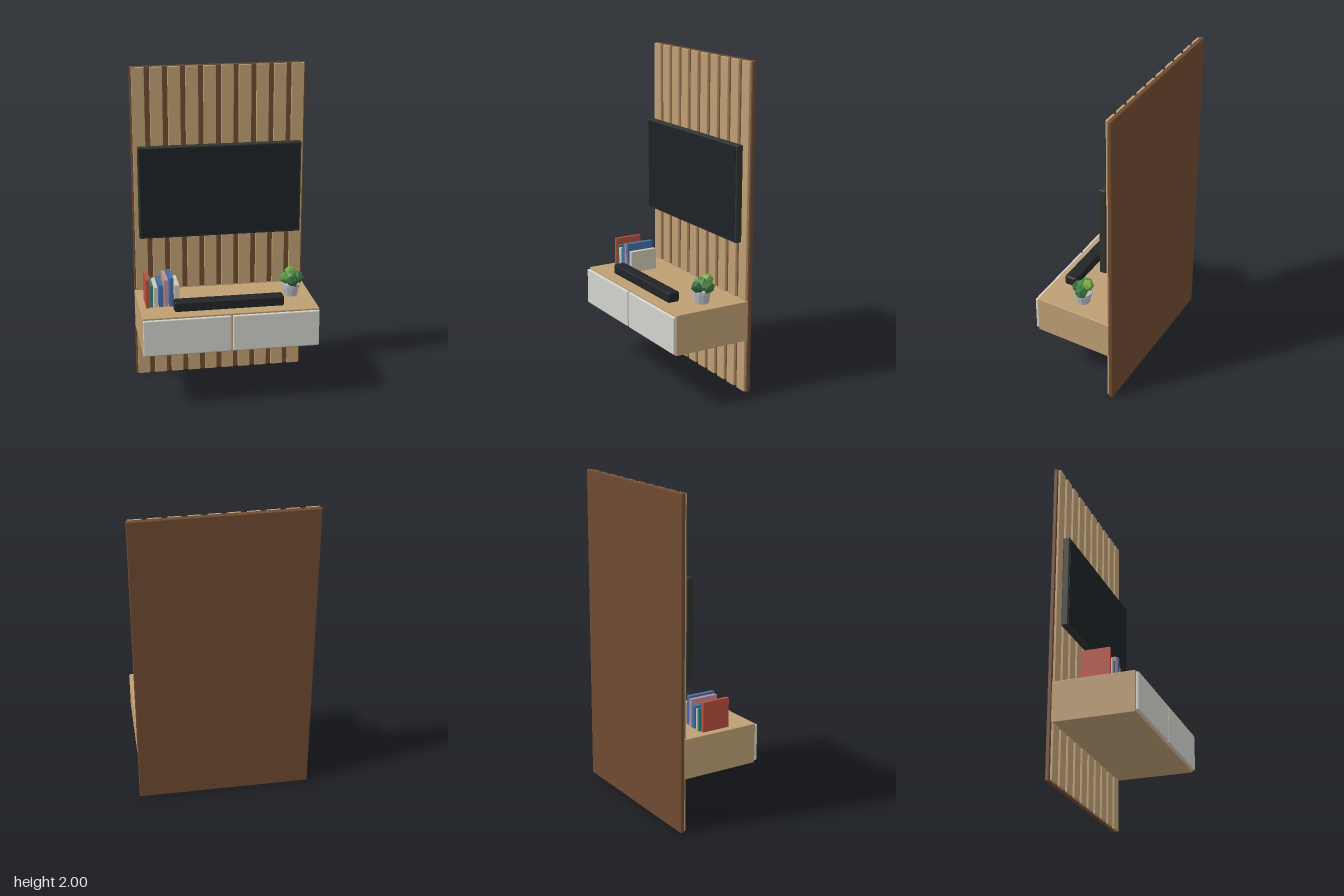
import * as THREE from 'three';
import { RoundedBoxGeometry } from 'three/addons/geometries/RoundedBoxGeometry.js';

const paint = (color, flatShading = false) => new THREE.MeshStandardMaterial({ color, flatShading });

export function createModel() {
  const model = new THREE.Group();
  model.name = 'mediaWall';

  const walnut = paint(0x6f4a30), oak = paint(0xbf9f74), black = paint(0x222427);
  const frame = paint(0x30332f), screenGlass = paint(0x1d2227), doorPaint = paint(0xd2d2cd);

  // Box given by its [min, max] range on each axis, with optional softened edges
  function block(name, x, y, z, material, radius = 0, parent = model) {
    const size = [x, y, z].map(([a, b]) => b - a);
    const geometry = radius
      ? new RoundedBoxGeometry(...size, 2, radius)
      : new THREE.BoxGeometry(...size);
    const mesh = new THREE.Mesh(geometry, material);
    mesh.position.set((x[0] + x[1]) / 2, (y[0] + y[1]) / 2, (z[0] + z[1]) / 2);
    mesh.name = name;
    parent.add(mesh);
    return mesh;
  }

  // Back panel with ten vertical slats
  block('backPanel', [-0.54, 0.54], [0, 2], [-0.272, -0.246], walnut, 0.006);
  const slats = new THREE.Group();
  slats.name = 'slats';
  model.add(slats);
  for (let i = 0; i < 10; i++) {
    const x = (i - 4.5) * 0.109;
    block('slat', [x - 0.0385, x + 0.0385], [0.004, 1.996], [-0.248, -0.231], oak, 0.003, slats);
  }

  // Television on its wall mount
  block('wallMount', [-0.135, 0.135], [1.14, 1.32], [-0.232, -0.21], frame, 0.004);
  block('televisionBody', [-0.507, 0.507], [0.94, 1.52], [-0.214, -0.17], frame, 0.008);
  block('televisionScreen', [-0.497, 0.497], [0.95, 1.51], [-0.175, -0.1685], screenGlass);

  // Floating cabinet with two doors
  block('cabinet', [-0.54, 0.54], [0.335, 0.582], [-0.246, 0.25], oak, 0.004);
  for (const side of [-1, 1]) {
    const x = [side * 0.006, side * 0.538].sort((a, b) => a - b);
    block('door', x, [0.346, 0.572], [0.249, 0.269], doorPaint, 0.006);
  }

  block('soundbar', [-0.338, 0.336], [0.582, 0.646], [0.105, 0.182], black, 0.012);

  // Row of books: left edge, right edge, top, centre in z, colour
  const books = new THREE.Group();
  books.name = 'books';
  model.add(books);
  [
    [-0.499, -0.478, 0.764, -0.004, 0xb8503f],
    [-0.473, -0.456, 0.722, -0.016, 0x2f8078],
    [-0.45, -0.427, 0.71, -0.008, 0xd0c6b6],
    [-0.42, -0.393, 0.72, -0.013, 0x426fa6],
    [-0.387, -0.362, 0.752, -0.012, 0xc08c98],
    [-0.356, -0.33, 0.762, -0.008, 0x426fa6],
    [-0.325, -0.295, 0.716, -0.013, 0xd0c6b6],
  ].forEach(([x0, x1, top, z, color]) =>
    block('book', [x0, x1], [0.582, top], [z - 0.089, z + 0.089], paint(color), 0, books));

  // Potted plant: faceted pot and clustered leaf clumps
  const plant = new THREE.Group();
  plant.name = 'pottedPlant';
  plant.position.set(0.415, 0.582, 0);
  model.add(plant);
  const potProfile = [[0, 0], [0.042, 0], [0.05, 0.058], [0.057, 0.058], [0.057, 0.076], [0.048, 0.076], [0.046, 0.066], [0, 0.066]]
    .map(([r, y]) => new THREE.Vector2(r, y));
  const pot = new THREE.Mesh(new THREE.LatheGeometry(potProfile, 10), paint(0xb4b8bf, true));
  pot.name = 'pot';
  plant.add(pot);
  [
    [0, 0.115, 0, 0.046, 0x4a8840],
    [0.046, 0.107, -0.014, 0.042, 0x3b7540],
    [-0.03, 0.112, -0.006, 0.041, 0x55953f],
    [0.003, 0.138, -0.036, 0.038, 0x78a848],
    [0.004, 0.1, 0.034, 0.039, 0x2f6238],
  ].forEach(([x, y, z, radius, color], i) => {
    const clump = new THREE.Mesh(new THREE.IcosahedronGeometry(radius, 0), paint(color, true));
    clump.position.set(x, y, z);
    clump.rotation.set(i * 0.7, i * 1.3, i * 0.4);
    clump.name = 'leafClump';
    plant.add(clump);
  });

  return model;
}
